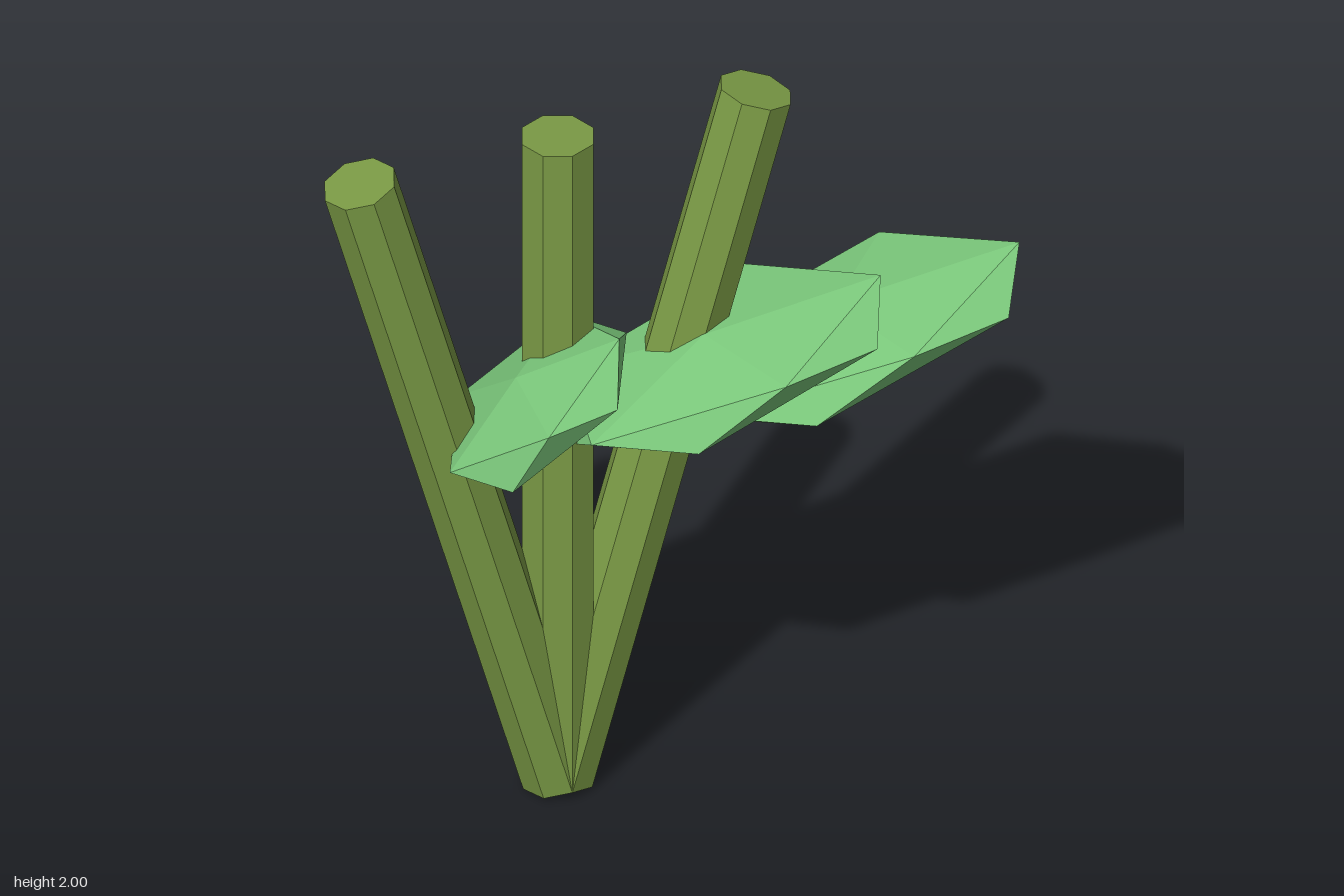
import * as THREE from 'three';

const stemMaterial = new THREE.MeshStandardMaterial({ color: 0x7a9a45, flatShading: true });
const leafMaterial = new THREE.MeshStandardMaterial({ color: 0x7bc87b, flatShading: true });

// Eight-sided stem rising from the shared root, leaning sideways by an angle
function makeStem(name, lean, length) {
  const geometry = new THREE.CylinderGeometry(0.097, 0.097, length, 8);
  geometry.translate(0, length / 2, 0);
  const stem = new THREE.Mesh(geometry, stemMaterial);
  stem.name = name;
  stem.position.set(-0.27, 0.026, -0.107);
  stem.rotation.z = lean;
  return stem;
}

// Faceted leaf clump: an icosahedron stretched along three slanted axes
function makeLeaf(name, centre, across, up, along) {
  const axes = [across, up, along].map((a) => new THREE.Vector3(...a));
  const geometry = new THREE.IcosahedronGeometry(1, 0);
  geometry.applyMatrix4(new THREE.Matrix4().makeBasis(...axes));
  geometry.computeVertexNormals();
  const leaf = new THREE.Mesh(geometry, leafMaterial);
  leaf.name = name;
  leaf.position.set(...centre);
  return leaf;
}

export function createModel() {
  const model = new THREE.Group();
  model.name = 'plant';

  // Three stems fanning out from one root
  const lean = 0.27;
  model.add(
    makeStem('rightStem', lean, 2.02),
    makeStem('middleStem', 0, 1.95),
    makeStem('leftStem', -lean, 2.02),
  );

  // Three tilted leaf clumps at the same height
  model.add(
    makeLeaf('rightLeaf', [-0.367, 1.254, 0], [0.029, -0.012, -0.278], [-0.081, 0.1, 0.15], [0.26, 0.188, 0.026]),
    makeLeaf('middleLeaf', [0.132, 1.254, 0], [-0.09, -0.012, -0.294], [0.003, 0.103, 0.171], [0.457, 0.192, 0.012]),
    makeLeaf('leftLeaf', [0.475, 1.254, 0], [-0.085, -0.012, -0.294], [0.013, 0.103, 0.171], [0.491, 0.192, 0.012]),
  );
  return model;
}
